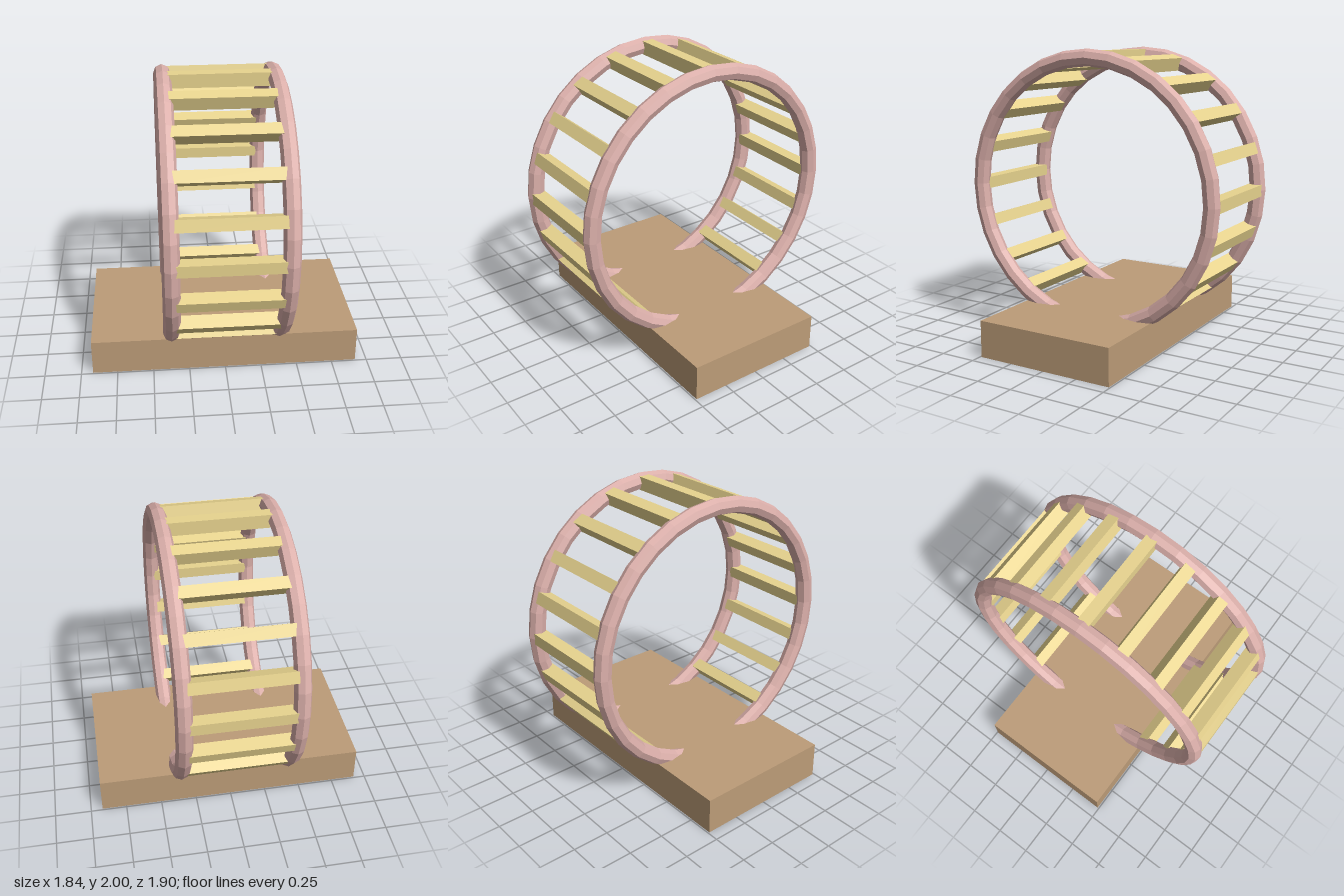
import * as THREE from 'three';

const HUB_Y = 1.05;      // height of the wheel axis
const RING_X = 0.37;     // sideways offset of each hoop
const RUNG_RADIUS = 0.89;
const RUNG_COUNT = 20;

const paint = (color) => new THREE.MeshStandardMaterial({ color, flatShading: true });

export function createModel() {
  const model = new THREE.Group();
  model.name = 'rungWheel';
  const wood = paint(0xbc9c78);
  const pink = paint(0xdcb0ab);
  const straw = paint(0xe8d48f);

  // Flat block the wheel is sunk into
  const base = new THREE.Mesh(new THREE.BoxGeometry(1.84, 0.25, 0.98), wood);
  base.name = 'base';
  base.position.y = 0.125;
  model.add(base);

  const wheel = new THREE.Group();
  wheel.name = 'wheel';
  wheel.position.y = HUB_Y;
  model.add(wheel);

  // Two octagonal hoops standing in the y-z plane
  const hoopGeometry = new THREE.TorusGeometry(0.895, 0.057, 8, 32).rotateY(Math.PI / 2);
  for (const side of [1, -1]) {
    const hoop = new THREE.Mesh(hoopGeometry, pink);
    hoop.name = side > 0 ? 'leftHoop' : 'rightHoop';
    hoop.position.x = side * RING_X;
    wheel.add(hoop);
  }

  // Rungs between the hoops, left out where the base takes their place
  const rungGeometry = new THREE.BoxGeometry(0.72, 0.08, 0.092);
  for (let i = 0; i < RUNG_COUNT; i++) {
    const angle = (i / RUNG_COUNT) * Math.PI * 2;
    if (Math.sin(angle) < -0.9) continue;
    const rung = new THREE.Mesh(rungGeometry, straw);
    rung.name = 'rung';
    rung.position.set(0, RUNG_RADIUS * Math.sin(angle), RUNG_RADIUS * Math.cos(angle));
    rung.rotation.x = -angle;
    wheel.add(rung);
  }

  return model;
}
